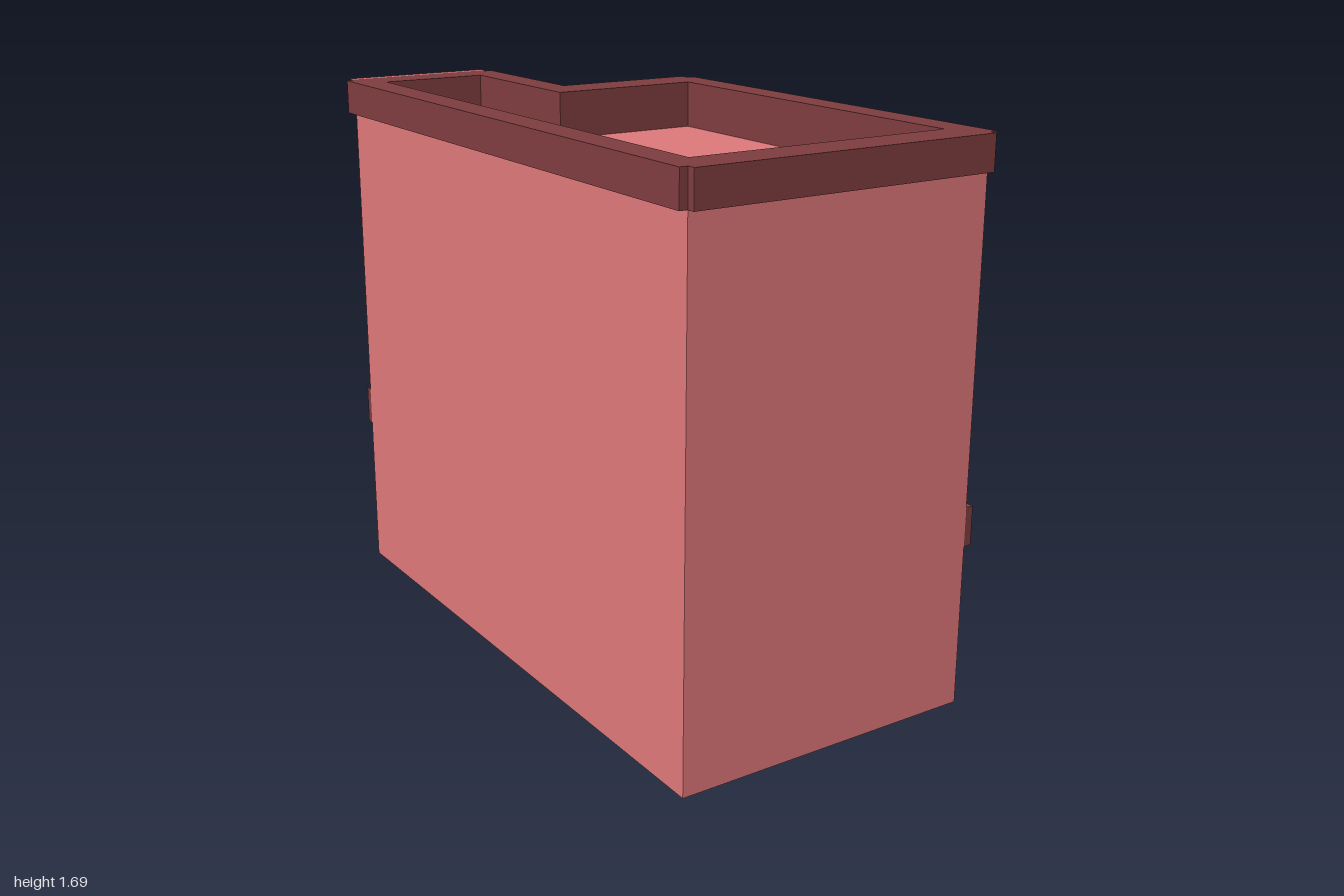
import * as THREE from 'three';

const mat = (color, side = THREE.FrontSide) => new THREE.MeshStandardMaterial({ color, side });

export function createModel() {
  const model = new THREE.Group();
  const wallMat = mat(0xdb7679, THREE.DoubleSide);
  const bandMat = mat(0xb25c5e, THREE.DoubleSide);
  const trimMat = mat(0x7d3c3e);
  const glassMat = mat(0xa04f5e);
  const doorMat = mat(0xa34042);

  const add = (parent, name, geometry, material, x = 0, y = 0, z = 0) => {
    const mesh = new THREE.Mesh(geometry, material);
    mesh.name = name;
    mesh.position.set(x, y, z);
    parent.add(mesh);
    return mesh;
  };
  const rect = (x0, y0, x1, y1) => new THREE.Shape(
    [[x0, y0], [x1, y0], [x1, y1], [x0, y1]].map(p => new THREE.Vector2(...p)));
  // Plan outlines are given as x, z and laid flat
  const plan = pts => new THREE.Shape(pts.map(([x, z]) => new THREE.Vector2(x, -z)));
  const slab = (shape, height) =>
    new THREE.ExtrudeGeometry(shape, { depth: height, bevelEnabled: false }).rotateX(-Math.PI / 2);
  const flat = shape => new THREE.ShapeGeometry(shape).rotateX(-Math.PI / 2);

  const TOP = 1.58, ROOF = 1.54, RECESS = 0.02;
  const floors = [
    { band: [0.74, 0.98], win: [0.765, 0.955] },
    { band: [1.225, 1.465], win: [1.255, 1.445] },
  ];

  // Walls: start corner, turn, length, and window spans measured along the wall
  const H = Math.PI / 2;
  const walls = [
    { name: 'frontWall', at: [-0.5, 0.975], turn: 0, length: 0.97 },
    { name: 'leftPartyWall', at: [-0.5, -0.965], turn: -H, length: 1.94 },
    { name: 'streetWall', at: [0.47, 0.975], turn: H, length: 1.41,
      windows: [[0.04, 0.305], [0.39, 0.66], [0.745, 1.015], [1.095, 1.365]] },
    { name: 'notchWall', at: [0.47, -0.435], turn: 2 * H, length: 0.485, windows: [[0.03, 0.45]] },
    { name: 'wingWall', at: [-0.015, -0.435], turn: H, length: 0.53, windows: [[0.04, 0.485]] },
    { name: 'backWall', at: [-0.015, -0.965], turn: 2 * H, length: 0.485, windows: [[0.03, 0.45]] },
  ];

  for (const { name, at, turn, length, windows } of walls) {
    const wall = new THREE.Group();
    wall.name = name;
    wall.position.set(at[0], 0, at[1]);
    wall.rotation.y = turn;
    model.add(wall);
    const strip = (part, y0, y1, material) =>
      add(wall, part, new THREE.ShapeGeometry(rect(0, y0, length, y1)), material);

    if (!windows) {
      strip('plainWall', 0, TOP, wallMat);
      continue;
    }
    strip('plinth', 0, 0.2, bandMat);
    strip('lowerWall', 0.2, 0.74, wallMat);
    strip('middleWall', 0.98, 1.225, wallMat);
    strip('upperWall', 1.465, TOP, wallMat);

    for (const { band, win } of floors) {
      const bandShape = rect(0, band[0], length, band[1]);
      for (const [u0, u1] of windows) {
        bandShape.holes.push(rect(u0, win[0], u1, win[1]));
        // Window reveal and recessed pane
        const e = 0.004;
        const frame = rect(u0 - e, win[0] - e, u1 + e, win[1] + e);
        frame.holes.push(rect(u0, win[0], u1, win[1]));
        add(wall, 'windowReveal', new THREE.ExtrudeGeometry(frame,
          { depth: RECESS, bevelEnabled: false }), wallMat, 0, 0, -RECESS - 0.001);
        add(wall, 'windowPane', new THREE.PlaneGeometry(u1 - u0, win[1] - win[0]), glassMat,
          (u0 + u1) / 2, (win[0] + win[1]) / 2, -RECESS);
      }
      add(wall, 'windowBand', new THREE.ShapeGeometry(bandShape), bandMat);
    }
  }

  // Underside
  add(model, 'base', flat(plan([[-0.5, 0.975], [0.47, 0.975], [0.47, -0.435],
    [-0.015, -0.435], [-0.015, -0.965], [-0.5, -0.965]])), wallMat);

  // Roof floor set down inside the parapet
  const inner = (g = 0) => [[-0.43 - g, 0.875 + g], [0.4 + g, 0.875 + g], [0.4 + g, -0.335 - g],
    [-0.085 + g, -0.335 - g], [-0.085 + g, -0.87 - g], [-0.43 - g, -0.87 - g]];
  add(model, 'roof', flat(plan(inner())), wallMat, 0, ROOF, 0);

  // Parapet with small stepped corners, and its lining down to the roof
  const parapet = plan([[-0.5, 1], [0.47, 1], [0.47, 0.975], [0.495, 0.975], [0.495, -0.44],
    [0.47, -0.44], [0.47, -0.475], [0.01, -0.475], [0.01, -0.97], [-0.015, -0.97], [-0.015, -1],
    [-0.505, -1], [-0.505, -0.97], [-0.525, -0.97], [-0.525, 0.975], [-0.5, 0.975]]);
  parapet.holes.push(plan(inner()));
  add(model, 'parapet', slab(parapet, 0.105), trimMat, 0, TOP, 0);
  const lining = plan(inner(0.01));
  lining.holes.push(plan(inner()));
  add(model, 'parapetLining', slab(lining, TOP - ROOF), trimMat, 0, ROOF, 0);
  add(model, 'parapetBackCap', flat(rect(-0.505, 0.97, -0.015, 1)), wallMat, 0, 1.687, 0);

  // Boxes from x, y, z limits
  const block = (name, [x0, x1], [y0, y1], [z0, z1], material) =>
    add(model, name, new THREE.BoxGeometry(x1 - x0, y1 - y0, z1 - z0), material,
      (x0 + x1) / 2, (y0 + y1) / 2, (z0 + z1) / 2);

  // Ledge above the ground floor
  const ledgeY = [0.495, 0.615];
  block('streetLedge', [0.47, 0.495], ledgeY, [-0.435, 0.975], trimMat);
  block('notchLedge', [-0.015, 0.47], ledgeY, [-0.46, -0.435], trimMat);
  block('wingLedge', [-0.015, 0.01], ledgeY, [-0.965, -0.46], trimMat);
  block('backLedge', [-0.5, -0.015], ledgeY, [-0.99, -0.965], trimMat);

  block('door', [0.47, 0.52], [0.03, 0.47], [-0.045, 0.235], doorMat);
  return model;
}
